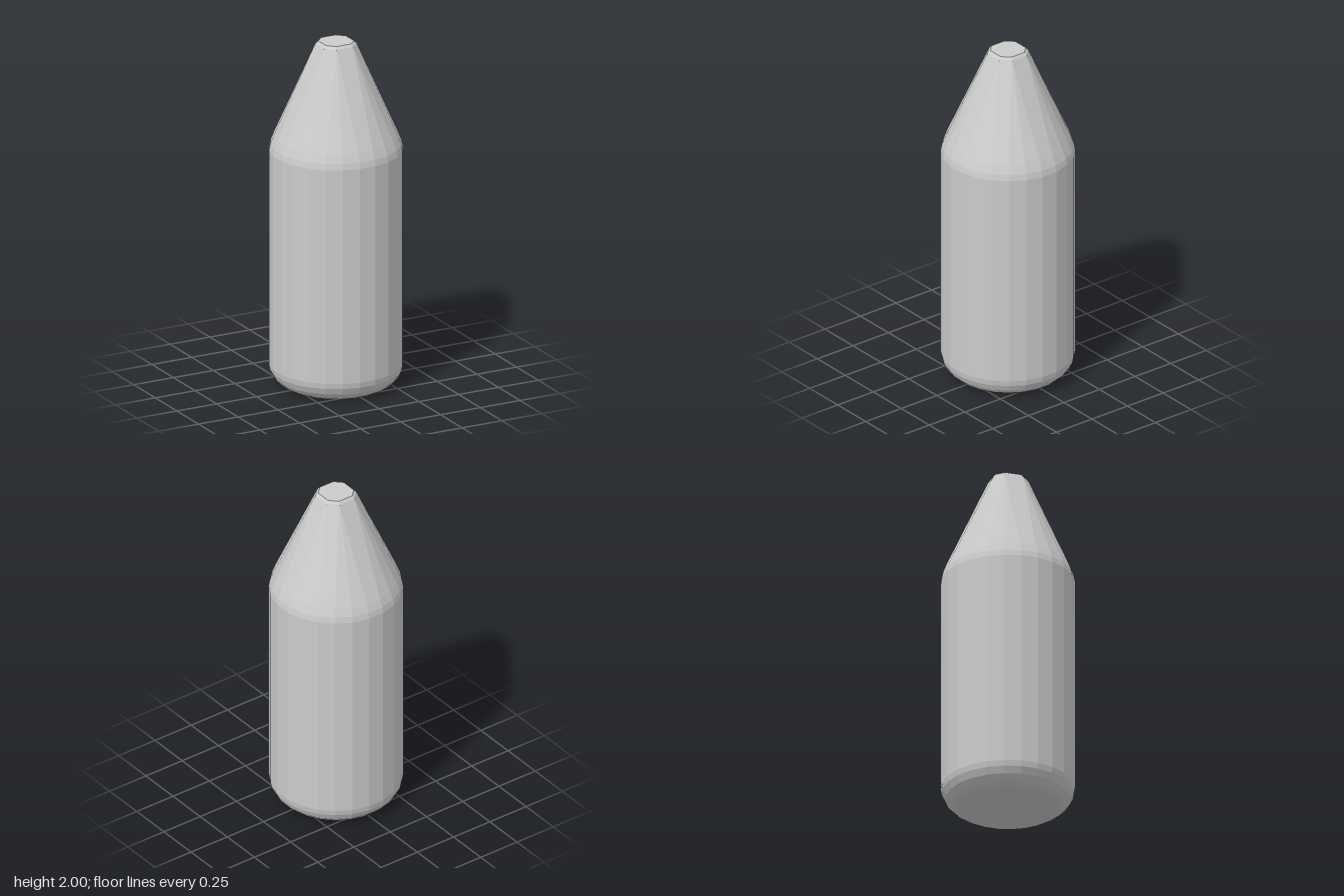
import * as THREE from 'three';

const SIDES = 24;

// Round 24-sided ring with flats facing the axes
function roundRing(radius, y) {
  return Array.from({ length: SIDES }, (_, j) => {
    const a = ((j + 0.5) / SIDES) * Math.PI * 2;
    return new THREE.Vector3(Math.cos(a) * radius, y, Math.sin(a) * radius);
  });
}

// Chamfered-square ring: three consecutive points share each of its eight corners
function octagonRing(half, corner, y) {
  return Array.from({ length: SIDES }, (_, j) => {
    const a = ((j + 0.5) / SIDES) * Math.PI * 2;
    const c = Math.cos(a), s = Math.sin(a);
    const alongX = Math.abs(c) > Math.abs(s);
    return new THREE.Vector3(
      Math.sign(c) * (alongX ? half : corner), y,
      Math.sign(s) * (alongX ? corner : half));
  });
}

// Skin the rings from bottom to top, leaving out collapsed triangles
function loft(rings) {
  const pos = [];
  const tri = (a, b, c) => {
    const area = b.clone().sub(a).cross(c.clone().sub(a)).length();
    if (area > 1e-9) for (const p of [a, b, c]) pos.push(p.x, p.y, p.z);
  };
  for (let i = 0; i < rings.length - 1; i++) {
    for (let j = 0; j < SIDES; j++) {
      const k = (j + 1) % SIDES;
      const a = rings[i][j], b = rings[i][k], c = rings[i + 1][j], d = rings[i + 1][k];
      tri(a, c, b);
      tri(b, c, d);
    }
  }
  const geo = new THREE.BufferGeometry();
  geo.setAttribute('position', new THREE.Float32BufferAttribute(pos, 3));
  geo.computeVertexNormals();
  return geo;
}

export function createModel() {
  const group = new THREE.Group();
  group.name = 'taperedCapsule';
  const material = new THREE.MeshStandardMaterial({ color: 0xcccccc, flatShading: true });

  // Base with rounded rim, straight wall and softened shoulder
  const profile = [[0, 0], [0.283, 0], [0.315, 0.018], [0.348, 0.05], [0.367, 0.088], [0.373, 0.12],
    [0.373, 1.37], [0.366, 1.405], [0.348, 1.452]];
  const body = profile.map(([r, y]) => roundRing(r, y));

  // Cone narrowing to a bevelled eight-sided tip
  const shoulder = body[body.length - 1];
  const tip = [octagonRing(0.102, 0.052, 1.985), octagonRing(0.088, 0.046, 2), roundRing(0, 2)];

  for (const [name, rings] of [['body', body], ['cone', [shoulder, ...tip]]]) {
    const mesh = new THREE.Mesh(loft(rings), material);
    mesh.name = name;
    group.add(mesh);
  }
  return group;
}
